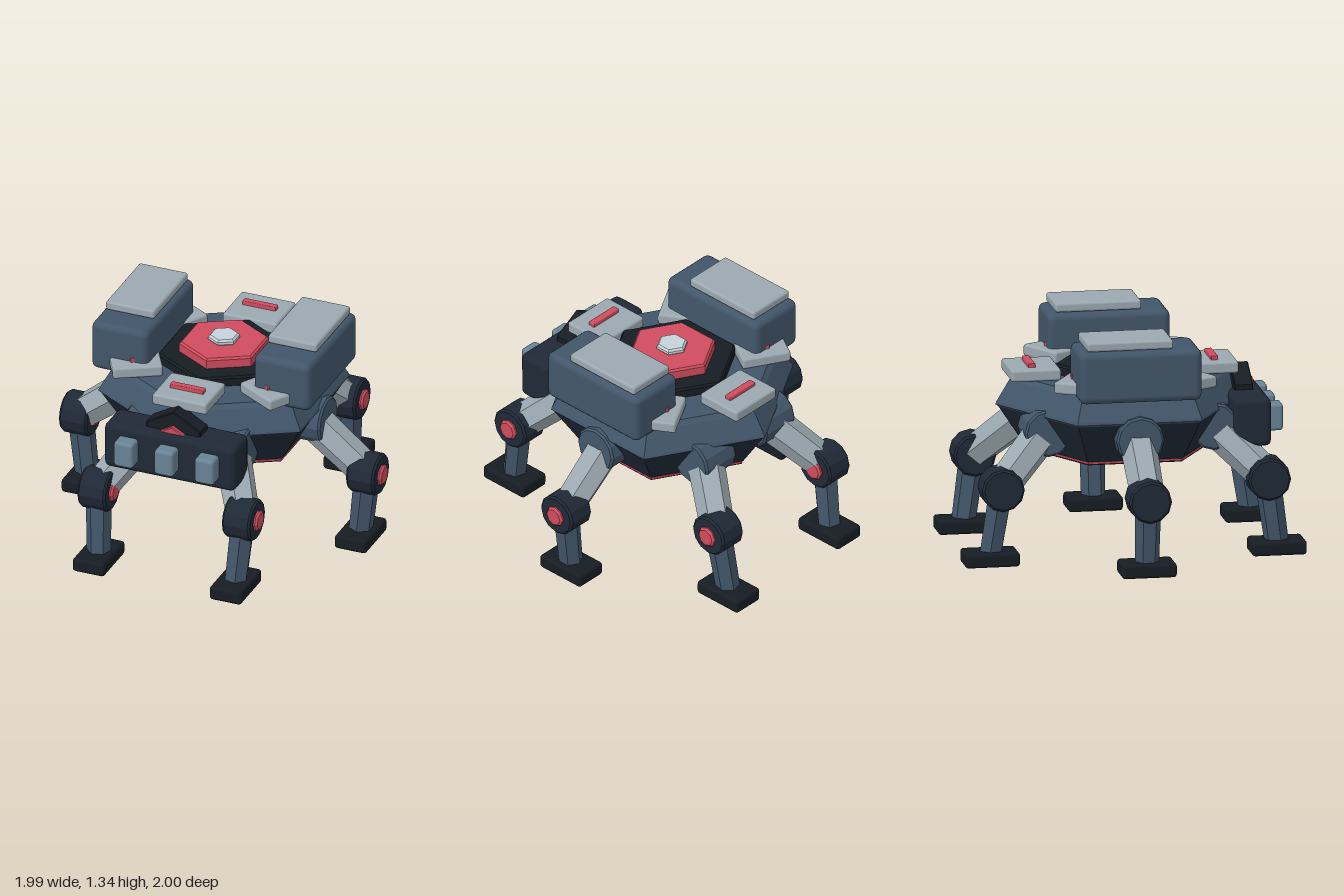
import * as THREE from 'three';
import { RoundedBoxGeometry } from 'three/addons/geometries/RoundedBoxGeometry.js';

const mat = (color, flatShading = false) => new THREE.MeshStandardMaterial({ color, flatShading });
const COLORS = {
  navy: 0x42566a, dark: 0x1f2936, black: 0x161d23,
  light: 0x9ba8b0, pale: 0xc5d3da, red: 0xd04c5e, lens: 0x698395,
};
const smooth = {}, flat = {};
for (const k in COLORS) { smooth[k] = mat(COLORS[k]); flat[k] = mat(COLORS[k], true); }

function add(parent, name, geometry, material, x = 0, y = 0, z = 0) {
  const m = new THREE.Mesh(geometry, material);
  m.name = name;
  m.position.set(x, y, z);
  parent.add(m);
  return m;
}

// Box with softened edges
function box(parent, name, color, [w, h, d], [x, y, z], r = 0.015) {
  return add(parent, name, new RoundedBoxGeometry(w, h, d, 2, r), smooth[color], x, y, z);
}

// Faceted turned solid from [radius, height] pairs, listed bottom to top
function turned(parent, name, color, profile, sides = 6) {
  const pts = profile.map(([r, y]) => new THREE.Vector2(r, y));
  return add(parent, name, new THREE.LatheGeometry(pts, sides), flat[color]);
}

// Disc with bevelled rims between two heights
function disc(parent, name, color, r, y0, y1, sides = 6, b = 0.012) {
  return turned(parent, name, color,
    [[0, y0], [r - b, y0], [r, y0 + b], [r, y1 - b], [r - b, y1], [0, y1]], sides);
}

// Tapered prism between two points
function strut(parent, name, color, from, to, r0, r1, sides) {
  const a = new THREE.Vector3(...from), b = new THREE.Vector3(...to);
  const dir = b.clone().sub(a);
  const m = add(parent, name, new THREE.CylinderGeometry(r1, r0, dir.length(), sides), flat[color]);
  m.position.copy(a).add(b).multiplyScalar(0.5);
  m.quaternion.setFromUnitVectors(new THREE.Vector3(0, 1, 0), dir.normalize());
  return m;
}

function buildHull(root) {
  const hull = new THREE.Group();
  hull.name = 'hull';
  root.add(hull);
  turned(hull, 'upperHull', 'navy',
    [[0.71, 0.83], [0.73, 0.845], [0.725, 0.86], [0.65, 0.985], [0.62, 1.01], [0, 1.01]]);
  turned(hull, 'lowerHull', 'dark', [[0, 0.588], [0.545, 0.588], [0.56, 0.6], [0.715, 0.835]]);
  disc(hull, 'undersideTrim', 'red', 0.55, 0.578, 0.592, 6, 0.002);
  disc(hull, 'bellyPlate', 'black', 0.548, 0.572, 0.585, 6, 0.002);
  // Stacked hexagonal hatch
  disc(hull, 'hatchBase', 'black', 0.385, 1.0, 1.07);
  disc(hull, 'hatch', 'red', 0.26, 1.06, 1.135);
  disc(hull, 'hatchCap', 'pale', 0.092, 1.13, 1.17);
  // Ring of armour plates with red slots
  for (let i = 0; i < 6; i++) {
    const sector = new THREE.Group();
    sector.name = 'armourSector';
    sector.rotation.y = i * Math.PI / 3;
    hull.add(sector);
    box(sector, 'armourPlate', 'light', [0.34, 0.07, 0.29], [0, 1.042, 0.52]);
    box(sector, 'armourSlot', 'red', [0.21, 0.035, 0.042], [0, 1.083, 0.535], 0.005);
  }
}

function buildPod(root, side) {
  const pod = new THREE.Group();
  pod.name = side > 0 ? 'leftPod' : 'rightPod';
  root.add(pod);
  box(pod, 'podBody', 'navy', [0.355, 0.305, 0.715], [side * 0.508, 1.128, 0], 0.04);
  box(pod, 'podLid', 'light', [0.305, 0.055, 0.505], [side * 0.508, 1.311, -0.06]);
}

function buildSensors(root) {
  const head = new THREE.Group();
  head.name = 'sensorHead';
  root.add(head);
  box(head, 'sensorHousing', 'dark', [0.82, 0.285, 0.22], [0, 0.765, 0.705], 0.035);
  for (const x of [-0.253, 0, 0.253])
    box(head, 'sensorLens', 'lens', [0.12, 0.16, 0.12], [x, 0.77, 0.84], 0.02);
  // Hexagonal crest rising behind the housing
  const crest = new THREE.Group();
  crest.name = 'crest';
  crest.position.y = 0.84;
  crest.rotation.x = Math.PI / 2;
  head.add(crest);
  for (const [name, color, r, z0, z1] of [
    ['crestBlock', 'black', 0.196, 0.64, 0.75], ['crestBadge', 'red', 0.11, 0.74, 0.775]])
    disc(crest, name, color, r, z0, z1, 6, 0.006);
}

function buildLeg(root, name, hip, knee, foot) {
  const leg = new THREE.Group();
  leg.name = name;
  root.add(leg);
  // Sideways hip drum and knee drum
  const drum = (label, color, r, half, [x, y, z], sides) => {
    const m = disc(leg, label, color, r, -half, half, sides);
    m.rotation.z = -Math.PI / 2;
    m.position.set(x, y, z);
  };
  drum('hip', 'navy', 0.14, 0.125, hip, 12);
  strut(leg, 'thigh', 'light', hip, knee, 0.11, 0.1, 6);
  drum('knee', 'dark', 0.125, 0.087, knee, 12);
  drum('kneeCap', 'red', 0.063, 0.02, [knee[0] + 0.088, knee[1], knee[2]], 8);
  strut(leg, 'shin', 'navy', knee, [foot[0], 0.05, foot[2]], 0.077, 0.07, 6);
  box(leg, 'foot', 'black', [0.2, 0.085, 0.32], [foot[0], 0.0425, foot[2]], 0.02);
}

export function createModel() {
  const root = new THREE.Group();
  root.name = 'hexapodWalker';
  const body = new THREE.Group();
  body.name = 'walker';
  body.position.x = -0.013;
  root.add(body);

  buildHull(body);
  buildSensors(body);
  for (const s of [1, -1]) {
    const sideName = s > 0 ? 'left' : 'right';
    buildPod(body, s);
    buildLeg(body, sideName + 'MiddleLeg',
      [s * 0.53, 0.745, 0], [s * 0.898, 0.455, 0], [s * 0.855, 0, 0]);
    for (const f of [1, -1])
      buildLeg(body, sideName + (f > 0 ? 'FrontLeg' : 'BackLeg'),
        [s * 0.25, 0.745, f * 0.485], [s * 0.452, 0.455, f * 0.78], [s * 0.428, 0, f * 0.84]);
  }
  return root;
}
